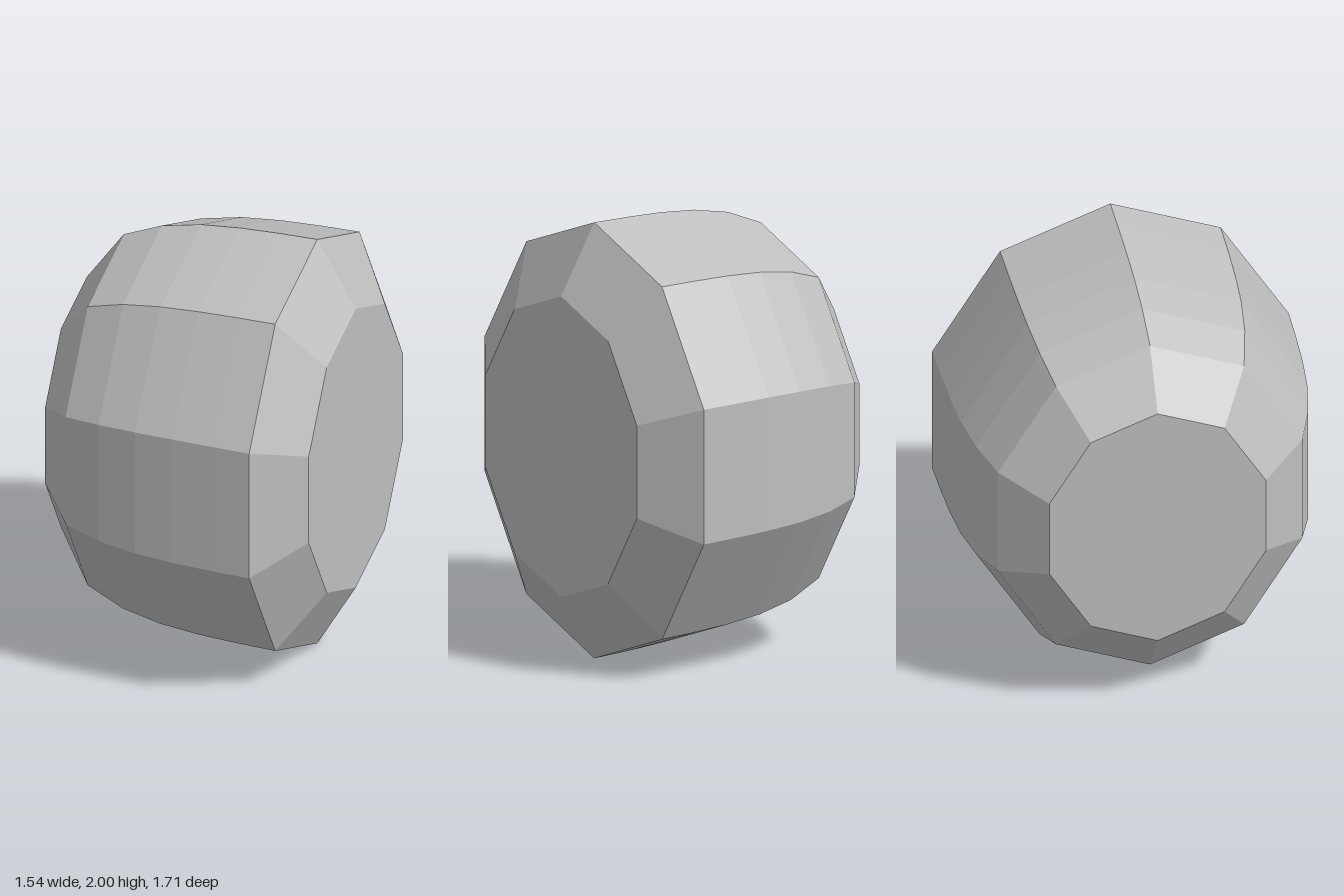
import * as THREE from 'three';

export function createModel() {
  const group = new THREE.Group();
  const grey = new THREE.MeshStandardMaterial({ color: 0xbfbfbf, flatShading: true });
  grey.name = 'plain grey';

  // Profile [radius, distance along axis]: flat cap, rounded body, rim, bevel, flat cap
  const profile = [
    [0, -0.671], [0.607, -0.671], [0.853, -0.493], [0.93, -0.31], [0.97, -0.122],
    [0.988, 0.064], [0.996, 0.249], [1, 0.434], [0.69, 0.618], [0, 0.618],
  ].map(([r, t]) => new THREE.Vector2(r, t));

  // Ten-sided barrel laid on its side, a corner at the top, narrowed and turned
  const geometry = new THREE.LatheGeometry(profile, 10, Math.PI / 2);
  geometry.rotateZ(-Math.PI / 2);
  geometry.scale(1, 1, 0.848);
  geometry.translate(0, 1, -0.052);
  geometry.rotateY(-0.3026);

  const body = new THREE.Mesh(geometry, grey);
  body.name = 'barrelBody';
  group.add(body);
  return group;
}
